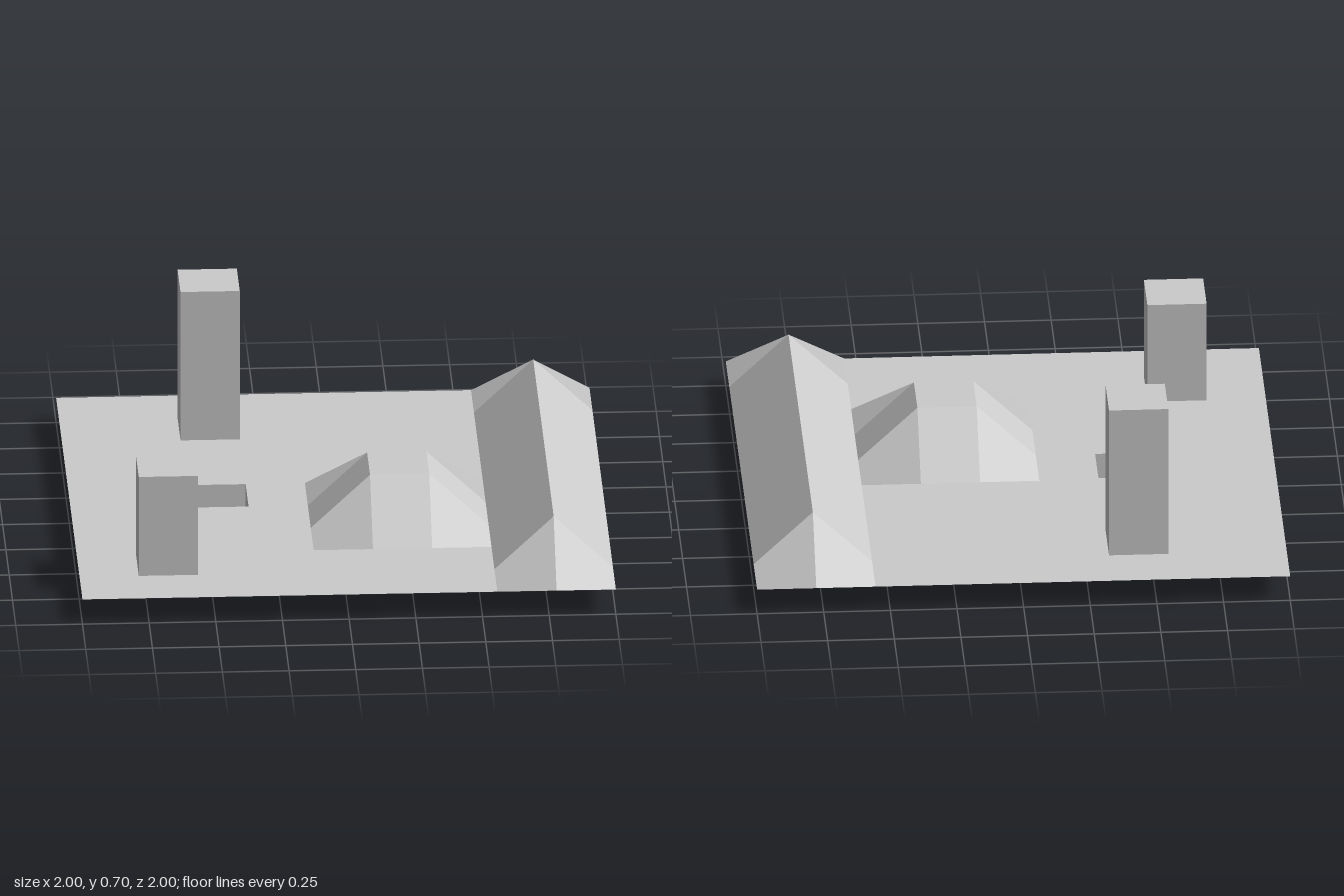
import * as THREE from 'three';

const N = 9, CELL = 2 / N;      // tile is a 9 x 9 grid of cells
const GROUND = 0.1, HILL = 0.31;
const at = (i, y, j) => new THREE.Vector3(-1 + i * CELL, y, -1 + j * CELL);

// Thin sheet of four-cornered faces, one flat normal per face
function sheet(name, quads, material) {
  const pos = [], nor = [];
  for (const q of quads) {
    const [a, b, c, d] = q;
    const n = c.clone().sub(a).cross(d.clone().sub(b)).normalize();
    // split bent faces along the steeper diagonal, so corners fold like hips
    const steep = Math.abs(a.y - c.y) >= Math.abs(b.y - d.y);
    for (const v of steep ? [a, b, c, a, c, d] : [a, b, d, b, c, d]) {
      pos.push(v.x, v.y, v.z);
      nor.push(n.x, n.y, n.z);
    }
  }
  const g = new THREE.BufferGeometry();
  g.setAttribute('position', new THREE.Float32BufferAttribute(pos, 3));
  g.setAttribute('normal', new THREE.Float32BufferAttribute(nor, 3));
  const mesh = new THREE.Mesh(g, material);
  mesh.name = name;
  return mesh;
}

// Faces over a rectangle of cells, with a height rule for the grid points
function field(i0, i1, j0, j1, height, keep = () => true) {
  const quads = [];
  const p = (i, j) => at(i, height(i, j), j);
  for (let i = i0; i < i1; i++)
    for (let j = j0; j < j1; j++)
      if (keep(i, j)) quads.push([p(i, j), p(i, j + 1), p(i + 1, j + 1), p(i + 1, j)]);
  return quads;
}

// One cell pushed up or down to a level, with four upright walls
function block(i, j, level) {
  const ring = [[i, j], [i, j + 1], [i + 1, j + 1], [i + 1, j]];
  const quads = [ring.map(([x, z]) => at(x, level, z))];
  ring.forEach(([x, z], k) => {
    const [u, w] = ring[(k + 1) % 4];
    quads.push([at(x, GROUND, z), at(u, GROUND, w), at(u, level, w), at(x, level, z)]);
  });
  return quads;
}

export function createModel() {
  const model = new THREE.Group();
  model.name = 'terrainTile';
  const mat = new THREE.MeshStandardMaterial({ color: 0xcccccc, side: THREE.DoubleSide });

  const blocks = [
    { name: 'shortPillar', i: 1, j: 7, level: 0.5 },
    { name: 'tallPillar', i: 2, j: 1, level: 0.7 },
    { name: 'pit', i: 2, j: 4, level: 0 },
  ];

  // Flat ground, open under the mound, pillars and pit
  const inMound = (i, j) => i >= 4 && i < 7 && j >= 4 && j < 7;
  const isFlat = (i, j) => !inMound(i, j) && !blocks.some((b) => b.i === i && b.j === j);
  model.add(sheet('ground', field(0, 7, 0, N, () => GROUND, isFlat), mat));

  // Flat-topped mound
  const moundHeight = (i, j) => (i > 4 && i < 7 && j > 4 && j < 7 ? HILL : GROUND);
  model.add(sheet('mound', field(4, 7, 4, 7, moundHeight), mat));

  // Long ridge with sloped ends
  const ridgeHeight = (i, j) => (i === 8 && j > 0 && j < N ? HILL : GROUND);
  model.add(sheet('ridge', field(7, 9, 0, N, ridgeHeight), mat));

  // Pillars and pit
  for (const b of blocks) model.add(sheet(b.name, block(b.i, b.j, b.level), mat));

  return model;
}
